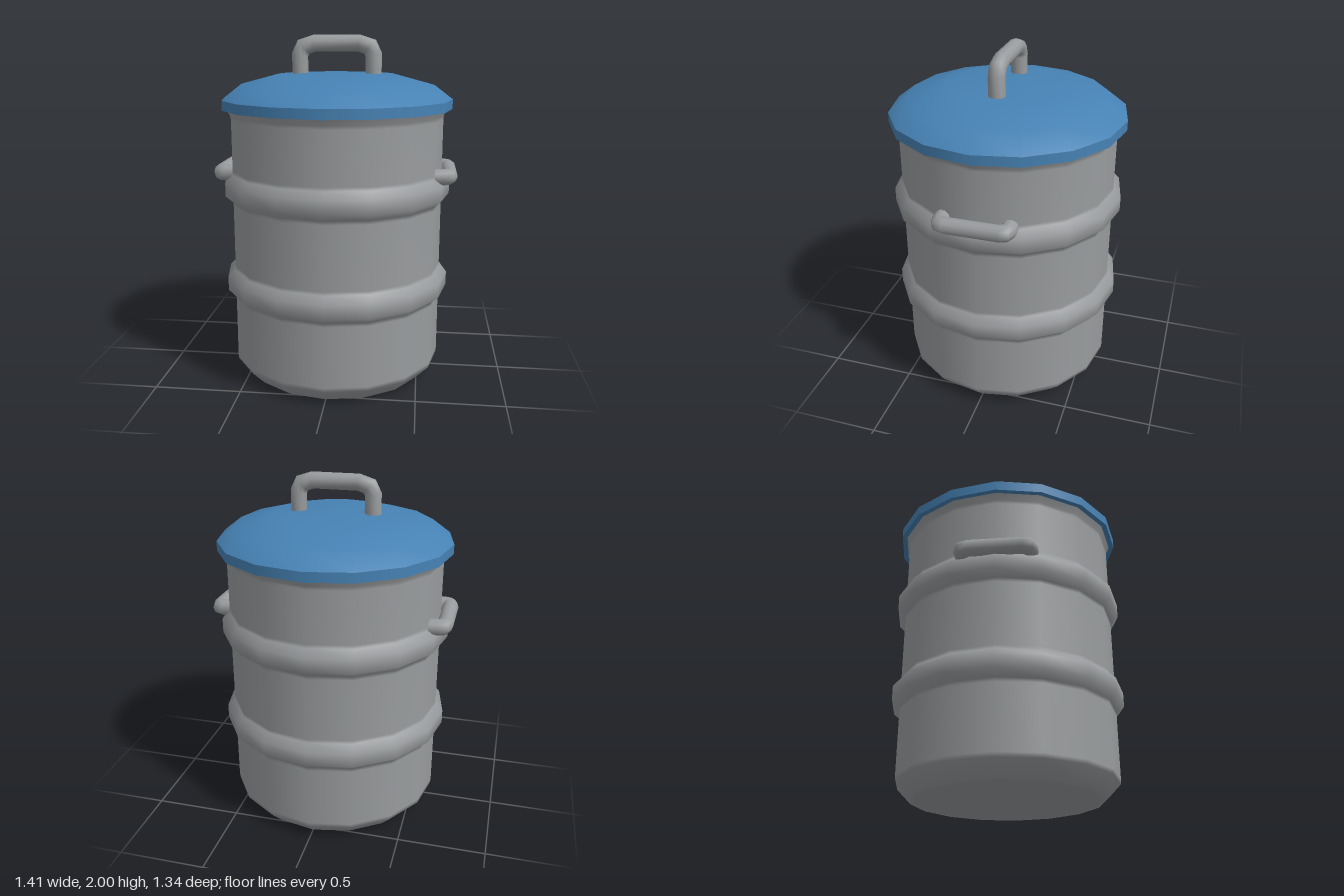
import * as THREE from 'three';

const SIDES = 16;

function mat(name, color) {
  const m = new THREE.MeshStandardMaterial({ color });
  m.name = name;
  return m;
}

function lathe(name, profile, material) {
  const pts = profile.map(([r, y]) => new THREE.Vector2(r, y));
  const mesh = new THREE.Mesh(new THREE.LatheGeometry(pts, SIDES), material);
  mesh.name = name;
  return mesh;
}

// Round bar swept along a flat path in the XY plane, mitred at each corner
function bar(name, half, radius, material, sides = 10) {
  const path = [...half, ...half.slice().reverse().map(([x, y]) => [-x, y])]
    .map(([x, y]) => new THREE.Vector2(x, y));
  const pos = [], index = [];
  path.forEach((p, i) => {
    const before = path[Math.max(i - 1, 0)], after = path[Math.min(i + 1, path.length - 1)];
    const d1 = (i > 0 ? p.clone().sub(before) : after.clone().sub(p)).normalize();
    const d2 = (i < path.length - 1 ? after.clone().sub(p) : d1.clone()).normalize();
    const t = d1.clone().add(d2).normalize();
    const miter = 1 / t.dot(d1);
    for (let j = 0; j < sides; j++) {
      const a = (j / sides) * Math.PI * 2, c = Math.cos(a) * radius * miter;
      pos.push(p.x - t.y * c, p.y + t.x * c, Math.sin(a) * radius);
      if (i < path.length - 1) {
        const k = i * sides, j2 = (j + 1) % sides;
        index.push(k + j, k + j2, k + sides + j, k + j2, k + sides + j2, k + sides + j);
      }
    }
  });
  const g = new THREE.BufferGeometry();
  g.setAttribute('position', new THREE.Float32BufferAttribute(pos, 3));
  g.setIndex(index);
  g.computeVertexNormals();
  const mesh = new THREE.Mesh(g, material);
  mesh.name = name;
  return mesh;
}

export function createModel() {
  const grey = mat('galvanised grey', 0x999c9e);
  const blue = mat('lid blue', 0x4682b4);
  const group = new THREE.Group();
  group.name = 'bin';

  // Body with two swaged ribs; extra points keep the straight walls flat
  const rib = y => [
    [0.62, y - 0.1], [0.622, y - 0.078], [0.665, y - 0.04],
    [0.665, y + 0.04], [0.622, y + 0.08], [0.62, y + 0.1],
  ];
  group.add(lathe('body', [
    [0, 0], [0.5, 0], [0.54, 0.004], [0.618, 0.085], [0.62, 0.11],
    ...rib(0.567), ...rib(1.133),
    [0.62, 1.53], [0.622, 1.55], [0.648, 1.6],
  ], grey));

  // Lid: domed top, upright rim and underside
  group.add(lathe('lidTop', [[0.67, 1.64], [0.565, 1.72], [0.34, 1.78], [0, 1.79]], blue));
  group.add(lathe('lidRim', [[0.67, 1.585], [0.67, 1.64]], blue));
  group.add(lathe('lidUnderside', [[0, 1.587], [0.67, 1.585]], blue));

  // Lid handle
  group.add(bar('lidHandle',
    [[0.213, 1.74], [0.213, 1.89], [0.192, 1.933], [0.13, 1.953]], 0.047, grey));

  // Side handles, path laid flat and pointing outwards
  for (const side of [1, -1]) {
    const handle = bar(side > 0 ? 'leftHandle' : 'rightHandle',
      [[0.185, 0.55], [0.185, 0.625], [0.175, 0.65], [0.145, 0.66]], 0.046, grey);
    handle.rotation.set(Math.PI / 2, 0, -side * Math.PI / 2, 'ZXY');
    handle.rotation.set(0, 0, 0);
    // local x -> z, local y -> outward x
    const basis = new THREE.Matrix4().makeBasis(
      new THREE.Vector3(0, 0, -side), new THREE.Vector3(side, 0, 0), new THREE.Vector3(0, -1, 0));
    handle.quaternion.setFromRotationMatrix(basis);
    handle.position.y = 1.22;
    group.add(handle);
  }
  return group;
}
